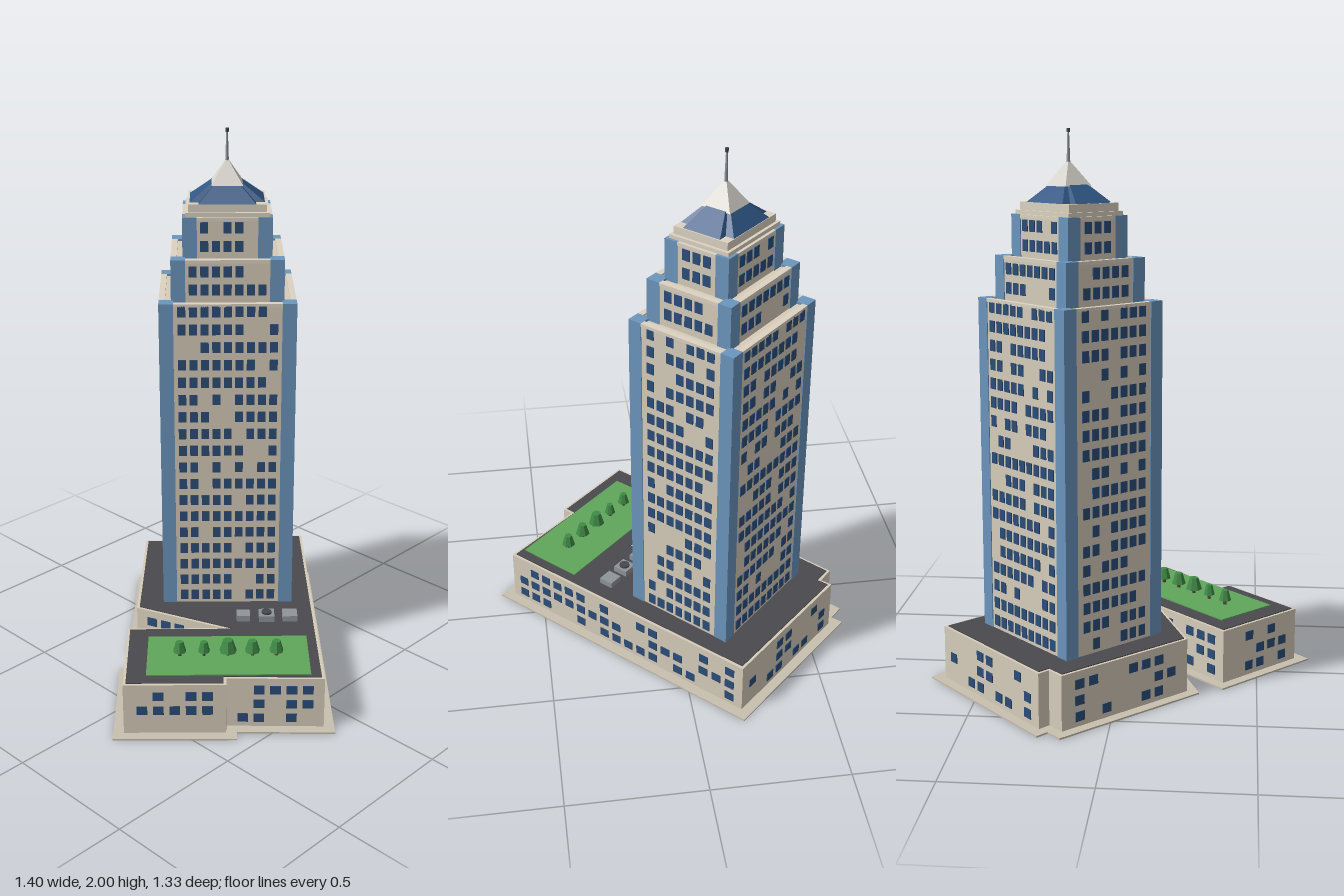
import * as THREE from 'three';
import { mergeGeometries } from 'three/addons/utils/BufferGeometryUtils.js';

const mat = (color, extra = {}) => new THREE.MeshStandardMaterial({ color, flatShading: true, ...extra });
const M = {
  wall: mat(0xd6ccb9), trim: mat(0xdcd3c2), pave: mat(0xc8bfae), deck: mat(0x4a494e),
  glass: mat(0x2b4d78), corner: mat(0x6b95bd), roof: mat(0x2f5684, { side: THREE.DoubleSide }),
  lawn: mat(0x5fa65a), leaf: mat(0x3f8a45), trunk: mat(0x5c4632),
  unit: mat(0x8f9499), dark: mat(0x45484c), spire: mat(0xd8d5cd),
};

// small seeded generator for the lit/blank window pattern
let seed = 7;
const rand = () => (seed = (seed * 16807) % 2147483647) / 2147483647;

function add(parent, name, geometry, material, x = 0, y = 0, z = 0) {
  const mesh = new THREE.Mesh(geometry, material);
  mesh.name = name;
  mesh.position.set(x, y, z);
  parent.add(mesh);
  return mesh;
}

// box standing on height y0
const block = (parent, name, w, y0, y1, d, material, x = 0, z = 0) =>
  add(parent, name, new THREE.BoxGeometry(w, y1 - y0, d), material, x, (y0 + y1) / 2, z);

// outward normal of plan edge a -> b
function edgeNormal(a, b) {
  const dx = b[0] - a[0], dz = b[1] - a[1], l = Math.hypot(dx, dz);
  return [dz / l, -dx / l];
}

// mitred offset of a plan outline
function offset(points, d) {
  const n = points.length;
  return points.map((p, i) => {
    const n1 = edgeNormal(points[(i + n - 1) % n], p), n2 = edgeNormal(p, points[(i + 1) % n]);
    const k = d / (1 + n1[0] * n2[0] + n1[1] * n2[1]);
    return [p[0] + (n1[0] + n2[0]) * k, p[1] + (n1[1] + n2[1]) * k];
  });
}

// plan outline extruded from y0 to y1
function prism(points, y0, y1) {
  const shape = new THREE.Shape(points.map(([x, z]) => new THREE.Vector2(x, -z)));
  const g = new THREE.ExtrudeGeometry(shape, { depth: y1 - y0, bevelEnabled: false });
  return g.rotateX(-Math.PI / 2).translate(0, y0, 0);
}

// grid of windows on every wall of a plan outline, some left blank
function windows(parent, points, rows, { pitch, w, h, margin, fill }) {
  const parts = [];
  points.forEach((a, i) => {
    const b = points[(i + 1) % points.length];
    const len = Math.hypot(b[0] - a[0], b[1] - a[1]);
    const cols = Math.floor((len - 2 * margin) / pitch);
    const [nx, nz] = edgeNormal(a, b);
    for (const y of rows) for (let c = 0; c < cols; c++) {
      if (rand() > fill) continue;
      const t = 0.5 + (c - (cols - 1) / 2) * pitch / len;
      const x = a[0] + (b[0] - a[0]) * t + nx * 0.001, z = a[1] + (b[1] - a[1]) * t + nz * 0.001;
      parts.push(new THREE.BoxGeometry(w, h, 0.004).rotateY(Math.atan2(nx, nz)).translate(x, y, z));
    }
  });
  add(parent, 'windows', mergeGeometries(parts), M.glass);
}

const rect = (w, d) => [[-w / 2, -d / 2], [w / 2, -d / 2], [w / 2, d / 2], [-w / 2, d / 2]];
const rowList = (first, step, count) => Array.from({ length: count }, (_, i) => first + i * step);

function podium() {
  const g = new THREE.Group();
  g.name = 'podium';
  const plan = [
    [0.155, -0.614], [0.204, -0.566], [0.235, -0.6], [0.646, -0.176], [-0.12, 0.61], [-0.36, 0.357],
    [-0.39, 0.386], [-0.645, 0.127], [-0.377, -0.142], [-0.125, 0.11], [-0.249, -0.23],
  ];
  add(g, 'pavement', prism(offset(plan, 0.038), 0, 0.006), M.pave);
  add(g, 'podiumWalls', prism(plan, 0.006, 0.204), M.wall);
  add(g, 'podiumDeck', prism(offset(plan, -0.01), 0.2, 0.207), M.deck);
  windows(g, plan, rowList(0.042, 0.058, 3), { pitch: 0.058, w: 0.038, h: 0.034, margin: 0.02, fill: 0.62 });
  return g;
}

// one storey block with glass corner piers and a parapet
function tier(w, d, y0, y1, rows) {
  const g = new THREE.Group(), s = 0.052, inset = 0.003;
  g.name = 'towerTier';
  block(g, 'tierBody', w - 2 * inset, y0, y1 - 0.008, d - 2 * inset, M.wall);
  for (const sx of [-1, 1]) for (const sz of [-1, 1])
    block(g, 'cornerPier', s, y0, y1, s, M.corner, sx * (w - s) / 2, sz * (d - s) / 2);
  for (const k of [-1, 1]) {
    block(g, 'parapet', w - 2 * s, y1 - 0.012, y1, 0.022, M.trim, 0, k * (d / 2 - 0.011));
    block(g, 'parapet', 0.022, y1 - 0.012, y1, d - 2 * s, M.trim, k * (w / 2 - 0.011), 0);
  }
  windows(g, rect(w - 2 * inset, d - 2 * inset), rows, { pitch: 0.0415, w: 0.029, h: 0.04, margin: s - 0.003, fill: 0.82 });
  return g;
}

// hipped roof with folded-in corners, lofted between two notched rectangles
function foldedRoof(y0, y1) {
  const ring = (w, d, n, y) => [[-1, -1], [1, -1], [1, 1], [-1, 1]].flatMap(([sx, sz]) => {
    const a = [sx * (w / 2 - n), y, sz * d / 2], b = [sx * (w / 2 - n), y, sz * (d / 2 - n)];
    const c = [sx * w / 2, y, sz * (d / 2 - n)];
    return sx * sz > 0 ? [c, b, a] : [a, b, c];
  });
  const low = ring(0.268, 0.21, 0.032, y0), high = ring(0.112, 0.1, 0.012, y1), pos = [];
  low.forEach((p, i) => {
    const j = (i + 1) % low.length;
    pos.push(...p, ...high[i], ...low[j], ...low[j], ...high[i], ...high[j]);
  });
  const g = new THREE.BufferGeometry();
  g.setAttribute('position', new THREE.Float32BufferAttribute(pos, 3));
  g.computeVertexNormals();
  return g;
}

function tower() {
  const g = new THREE.Group();
  g.name = 'tower';
  g.add(tier(0.495, 0.43, 0.2, 1.416, rowList(0.24, 0.0675, 18)));
  g.add(tier(0.407, 0.342, 1.4, 1.565, [1.455, 1.522]));
  g.add(tier(0.322, 0.257, 1.55, 1.708, [1.603, 1.671]));
  // stepped crown
  block(g, 'crownBase', 0.3, 1.7, 1.722, 0.236, M.trim);
  block(g, 'crownSlab', 0.278, 1.722, 1.75, 0.214, M.trim);
  add(g, 'foldedRoof', foldedRoof(1.75, 1.81), M.roof);
  const cap = new THREE.ConeGeometry(0.08, 0.09, 4).rotateY(Math.PI / 4);
  add(g, 'pyramidCap', cap, M.spire, 0, 1.85, 0);
  add(g, 'mast', new THREE.CylinderGeometry(0.003, 0.007, 0.12, 8), M.unit, 0, 1.93, 0);
  add(g, 'mastTip', new THREE.CylinderGeometry(0.006, 0.006, 0.014, 8), M.dark, 0, 1.993, 0);
  g.position.set(0.176, 0, -0.161);
  g.rotation.y = -Math.PI / 4;
  return g;
}

function roofGarden() {
  const g = new THREE.Group();
  g.name = 'roofGarden';
  block(g, 'lawn', 0.585, 0.2, 0.211, 0.257, M.lawn);
  // row of trees: position along the lawn and size
  [[-0.175, 0.024], [-0.087, 0.022], [0, 0.032], [0.088, 0.028], [0.175, 0.026]].forEach(([x, r]) => {
    const tree = new THREE.Group(), h = 0.022 + r * 0.75;
    tree.name = 'tree';
    add(tree, 'trunk', new THREE.CylinderGeometry(0.006, 0.007, 0.024, 6), M.trunk, 0, 0.012, 0);
    add(tree, 'crown', new THREE.CylinderGeometry(r * 0.55, r, h, 7), M.leaf, 0, 0.018 + h / 2, 0);
    tree.position.set(x, 0.21, 0);
    g.add(tree);
  });
  g.position.set(-0.253, 0, 0.262);
  g.rotation.y = -Math.PI / 4;
  return g;
}

function roofUnits() {
  const g = new THREE.Group();
  g.name = 'roofUnits';
  [[-0.088, 0.05], [0, 0.058], [0.088, 0.056]].forEach(([x, s]) => block(g, 'coolingUnit', s, 0.2, 0.23, s, M.unit, x));
  add(g, 'fan', new THREE.CylinderGeometry(0.019, 0.019, 0.008, 16), M.dark, 0, 0.233, 0);
  g.position.set(0.04, 0, 0.181);
  g.rotation.y = -Math.PI / 4;
  return g;
}

export function createModel() {
  const model = new THREE.Group();
  model.name = 'officeTower';
  model.add(podium(), tower(), roofGarden(), roofUnits());
  return model;
}
